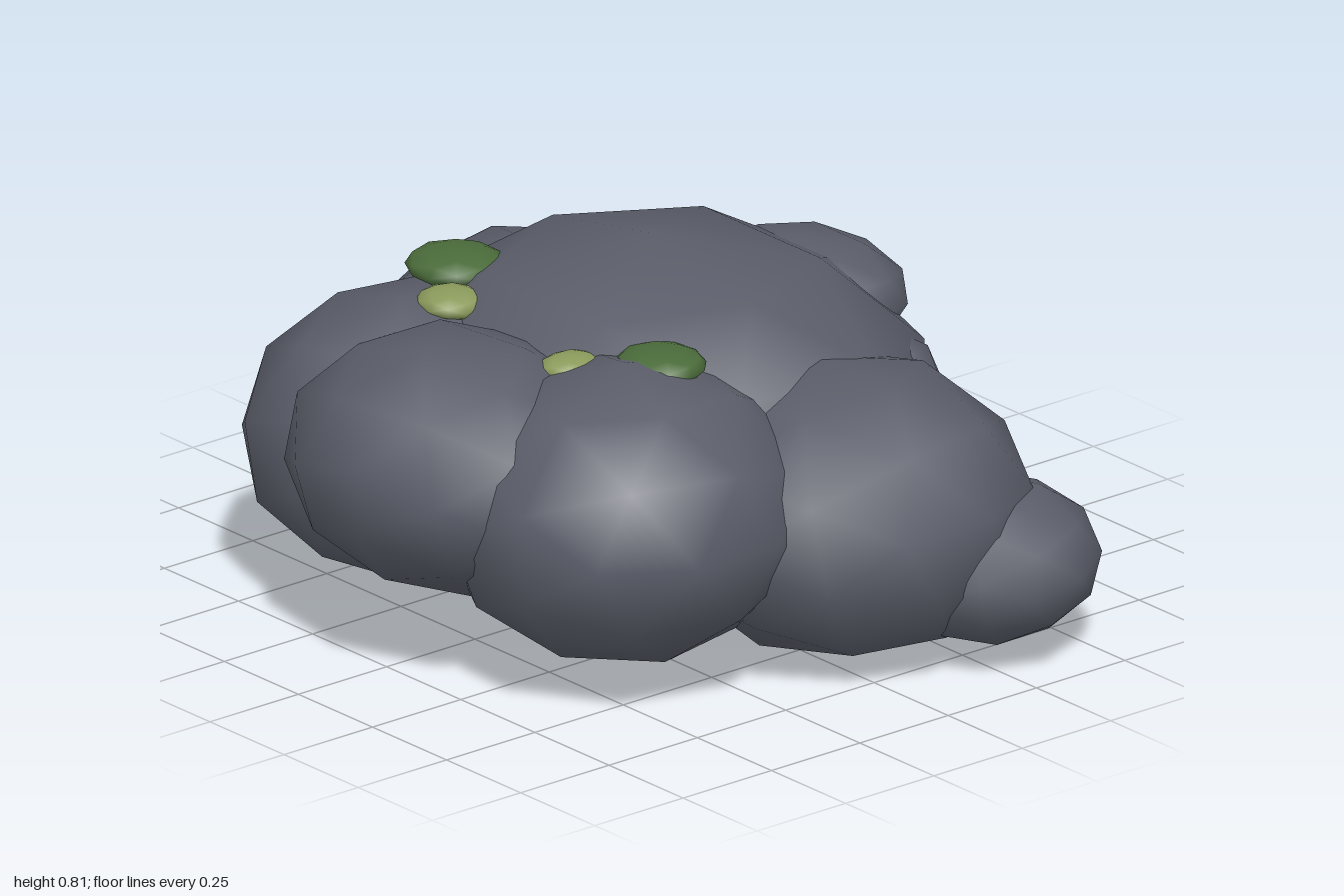
import * as THREE from 'three';

const mat = (name, color) => {
  const m = new THREE.MeshStandardMaterial({ color });
  m.name = name;
  return m;
};

export function createModel() {
  const stone = mat('slate stone', 0x5a5d69);
  const dark = mat('cave dark', 0x1a1a1a);
  const moss = mat('dark moss', 0x4a6b3a);
  const lichen = mat('light moss', 0x8a9a5b);
  const bone = mat('bone', 0xd6c9ae);

  const model = new THREE.Group();
  model.name = 'rockDen';

  // Smooth-shaded low-poly ellipsoid: position, radii, turn of its facets about x, y, z
  const blob = (name, material, p, r, [tx, ty, tz] = [0, 0, 0], parent = model) => {
    const geo = new THREE.IcosahedronGeometry(1, 1).rotateX(tx).rotateZ(tz).rotateY(ty);
    const mesh = new THREE.Mesh(geo, material);
    mesh.name = name;
    mesh.position.set(...p);
    mesh.scale.set(...r);
    parent.add(mesh);
  };

  // Boulders
  blob('mainBoulder', stone, [-0.01, 0.415, -0.01], [0.64, 0.4, 0.62]);
  blob('frontBoulder', stone, [0.03, 0.455, 0.58], [0.41, 0.285, 0.355], [0.28, 0.15, 0]);
  blob('frontLeftBoulder', stone, [0.36, 0.39, 0.375], [0.405, 0.335, 0.42], [0, -0.28, 0]);
  blob('frontRightBoulder', stone, [-0.29, 0.38, 0.4], [0.4, 0.325, 0.415], [0.15, 0.1, 0]);
  blob('leftBoulder', stone, [0.52, 0.325, -0.1], [0.43, 0.33, 0.42], [0, 0.2, 0.2]);
  blob('rightBoulder', stone, [-0.49, 0.33, -0.08], [0.41, 0.305, 0.42], [0, -0.25, 0]);
  blob('backLeftRock', stone, [0.77, 0.22, -0.31], [0.24, 0.18, 0.25], [0.2, 0.28, 0]);
  blob('backRightRock', stone, [-0.765, 0.205, -0.34], [0.24, 0.15, 0.24], [0, 0.1, 0]);

  // Cave mouth: lintel, two side stones and the dark opening
  blob('lintelStone', stone, [0, 0.588, -0.42], [0.265, 0.122, 0.22]);
  blob('leftDoorStone', stone, [0.315, 0.32, -0.41], [0.14, 0.27, 0.15], [0, 0.2, 0]);
  blob('rightDoorStone', stone, [-0.31, 0.335, -0.44], [0.135, 0.27, 0.14], [0, -0.2, 0]);
  blob('caveOpening', dark, [0.01, 0.28, -0.475], [0.25, 0.215, 0.14]);

  // Moss patches
  blob('mossRight', moss, [-0.35, 0.71, 0.26], [0.115, 0.038, 0.11], [0, 0.3, 0]);
  blob('mossLeft', moss, [0.345, 0.69, 0.265], [0.105, 0.036, 0.1], [0, 0.5, 0]);
  blob('lichenRightBack', lichen, [-0.41, 0.668, 0.2], [0.085, 0.034, 0.09], [0, 0.6, 0]);
  blob('lichenRightFront', lichen, [-0.225, 0.69, 0.38], [0.08, 0.033, 0.075], [0, 0.2, 0]);
  blob('lichenLeft', lichen, [0.2, 0.676, 0.4], [0.06, 0.028, 0.075], [0, 0.4, 0]);

  // Thin bone between two points
  const up = new THREE.Vector3(0, 1, 0);
  const stick = (name, a, b, radius) => {
    const from = new THREE.Vector3(...a);
    const to = new THREE.Vector3(...b);
    const dir = to.clone().sub(from);
    const mesh = new THREE.Mesh(new THREE.CylinderGeometry(radius, radius, dir.length(), 6), bone);
    mesh.name = name;
    mesh.position.copy(from).lerp(to, 0.5);
    mesh.quaternion.setFromUnitVectors(up, dir.normalize());
    model.add(mesh);
  };

  // Scattered bones: x and z of both ends
  [
    [-0.37, -0.925, -0.3, -0.82],
    [0.05, -0.745, 0.155, -0.815],
    [0.17, -0.685, 0.235, -0.575],
    [0.2, -0.62, 0.3, -0.575],
    [0.265, -0.705, 0.335, -0.61],
    [0.385, -0.555, 0.45, -0.66],
  ].forEach(([x1, z1, x2, z2]) => stick('looseBone', [x1, 0.12, z1], [x2, 0.12, z2], 0.008));

  // Row of ribs
  for (let i = 0; i < 4; i++) {
    const x = -0.32 + i * 0.025;
    stick('rib', [x + 0.01, 0.12, -0.68], [x - 0.01, 0.175, -0.68], 0.0045);
  }

  // Skull with a dark socket
  const skull = new THREE.Group();
  skull.name = 'skull';
  skull.position.set(0.258, 0.138, -0.725);
  model.add(skull);
  blob('cranium', bone, [0, 0, 0], [0.039, 0.034, 0.04], [0, 0, 0], skull);
  blob('socket', dark, [0, 0.007, -0.036], [0.012, 0.011, 0.01], [0, 0, 0], skull);

  return model;
}
